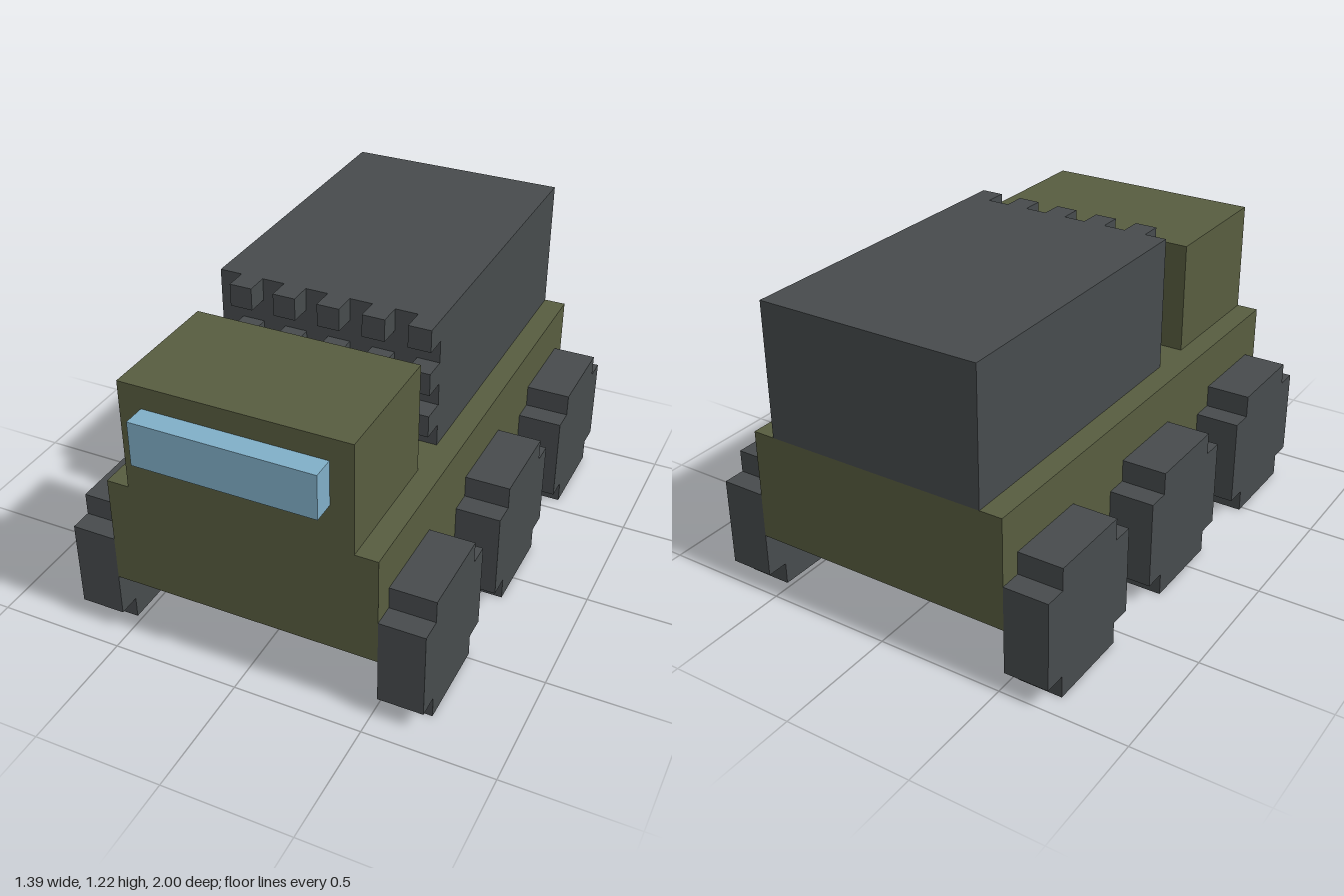
import * as THREE from 'three';

const U = 2 / 23; // one block

const olive = new THREE.MeshStandardMaterial({ name: 'olive paint', color: 0x585d40 });
const charcoal = new THREE.MeshStandardMaterial({ name: 'charcoal', color: 0x474b4d });
const glass = new THREE.MeshStandardMaterial({ name: 'blue glass', color: 0x80afc8 });

// Box given by its limits in blocks
function block(name, material, [x0, x1], [y0, y1], [z0, z1]) {
  const geometry = new THREE.BoxGeometry((x1 - x0) * U, (y1 - y0) * U, (z1 - z0) * U);
  const mesh = new THREE.Mesh(geometry, material);
  mesh.name = name;
  mesh.position.set(((x0 + x1) / 2) * U, ((y0 + y1) / 2) * U, ((z0 + z1) / 2) * U);
  return mesh;
}

// Stepped wheel: a 6 x 6 square with its corner blocks cut away
function wheelGeometry() {
  const outline = [[-3, -2], [-2, -2], [-2, -3], [2, -3], [2, -2], [3, -2],
    [3, 2], [2, 2], [2, 3], [-2, 3], [-2, 2], [-3, 2]];
  const shape = new THREE.Shape(outline.map(([a, b]) => new THREE.Vector2(a * U, b * U)));
  const geometry = new THREE.ExtrudeGeometry(shape, { depth: 2 * U, bevelEnabled: false });
  return geometry.translate(0, 0, -U).rotateY(Math.PI / 2);
}

export function createModel() {
  const model = new THREE.Group();
  model.name = 'sixWheelTruck';

  // Hull, cab and windscreen
  model.add(
    block('hull', olive, [-6, 6], [3, 8], [-11.5, 10.5]),
    block('cab', olive, [-5, 5], [8, 13], [4.5, 10.5]),
    block('windscreen', glass, [-4, 4], [10, 12], [10.5, 11.5]),
  );

  // Launcher box with a grid of tube ends facing the cab
  const launcher = new THREE.Group();
  launcher.name = 'launcher';
  launcher.add(block('launcherBox', charcoal, [-5, 5], [8, 14], [-11.5, 2.5]));
  for (const y of [9, 11, 13]) {
    for (const x of [-4, -2, 0, 2, 4]) {
      launcher.add(block('tubeEnd', charcoal, [x, x + 1], [y, y + 1], [2.5, 3.5]));
    }
  }
  model.add(launcher);

  // Three wheels on each side
  const geometry = wheelGeometry();
  for (const side of [-1, 1]) {
    for (const [position, z] of [['front', 7.5], ['middle', -0.5], ['rear', -8.5]]) {
      const wheel = new THREE.Mesh(geometry, charcoal);
      wheel.name = position + (side > 0 ? 'LeftWheel' : 'RightWheel');
      wheel.position.set(side * 7 * U, 3 * U, z * U);
      model.add(wheel);
    }
  }
  return model;
}
